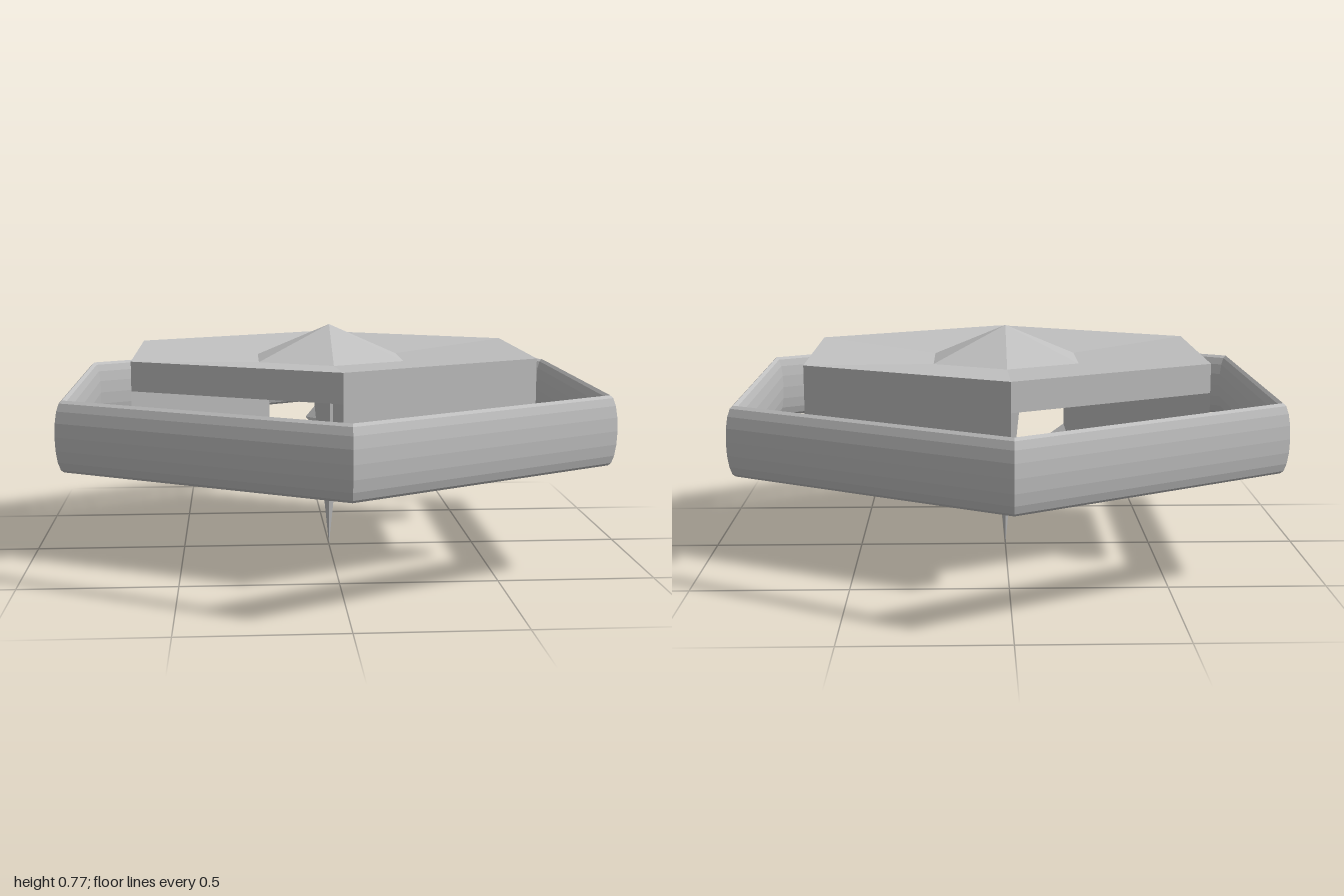
import * as THREE from 'three';

const STRETCH = 1.155;   // the hull hexagon is widened along x
const R = 0.645;         // hull corner radius

// Closed loft through rings of [x, y, z] corners, listed from bottom to top
function loft(rings) {
  const n = rings[0].length;
  const index = [];
  for (let r = 0; r < rings.length - 1; r++) {
    for (let i = 0; i < n; i++) {
      const a = r * n + i, b = r * n + (i + 1) % n;
      index.push(a, b, b + n, a, b + n, a + n);
    }
  }
  const top = (rings.length - 1) * n;
  for (let i = 1; i < n - 1; i++) {
    index.push(0, i + 1, i, top, top + i, top + i + 1);
  }
  const g = new THREE.BufferGeometry();
  g.setAttribute('position', new THREE.Float32BufferAttribute(rings.flat(2), 3));
  g.setIndex(index);
  g.computeVertexNormals();
  return g;
}

// Trapezoid ring: outer and inner distance with half widths
const trapezoid = (y, zo, ho, zi, hi) =>
  [[-ho, y, zo], [ho, y, zo], [hi, y, zi], [-hi, y, zi]];

// Six-sided solid of revolution, corner on +z
const hexLathe = (points) =>
  new THREE.LatheGeometry(points.map(([r, y]) => new THREE.Vector2(r, y)), 6).scale(STRETCH, 1, 1);

export function createModel() {
  const model = new THREE.Group();
  const grey = new THREE.MeshStandardMaterial({ color: 0xc0c0c0, flatShading: true });
  grey.name = 'grey hull';

  const add = (name, geometry) => {
    const mesh = new THREE.Mesh(geometry, grey);
    mesh.name = name;
    model.add(mesh);
  };

  // Hexagonal deck, slightly dished, with a central pyramid
  add('deck', hexLathe([[0, 0.588], [R, 0.588], [R, 0.682], [0.24, 0.653], [0, 0.767]]));

  // Thin spike hanging below the deck
  add('spike', hexLathe([[0, 0], [0.058, 0.59]]));

  // Three pods under alternate deck edges, flared at the foot
  const edge = R * Math.cos(Math.PI / 6);
  for (let k = 0; k < 3; k++) {
    const pod = loft([
      trapezoid(0.36, edge - 0.09, R / 2, 0.12, 0.085),
      trapezoid(0.405, edge, R / 2, edge * 0.32, R * 0.16),
      trapezoid(0.6, edge, R / 2, edge * 0.32, R * 0.16),
    ]);
    pod.rotateY(Math.PI / 6 + k * Math.PI * 2 / 3).scale(STRETCH, 1, 1);
    add('pod' + (k + 1), pod);
  }

  // Surrounding hexagonal ring with a tall oval section
  const tube = 0.0275;
  const ring = new THREE.TorusGeometry(1 - tube, tube, 16, 6);
  ring.rotateX(Math.PI / 2).rotateY(Math.PI / 2).scale(1, 0.111 / tube, 1).translate(0, 0.474, 0);
  add('outerRing', ring);

  return model;
}
